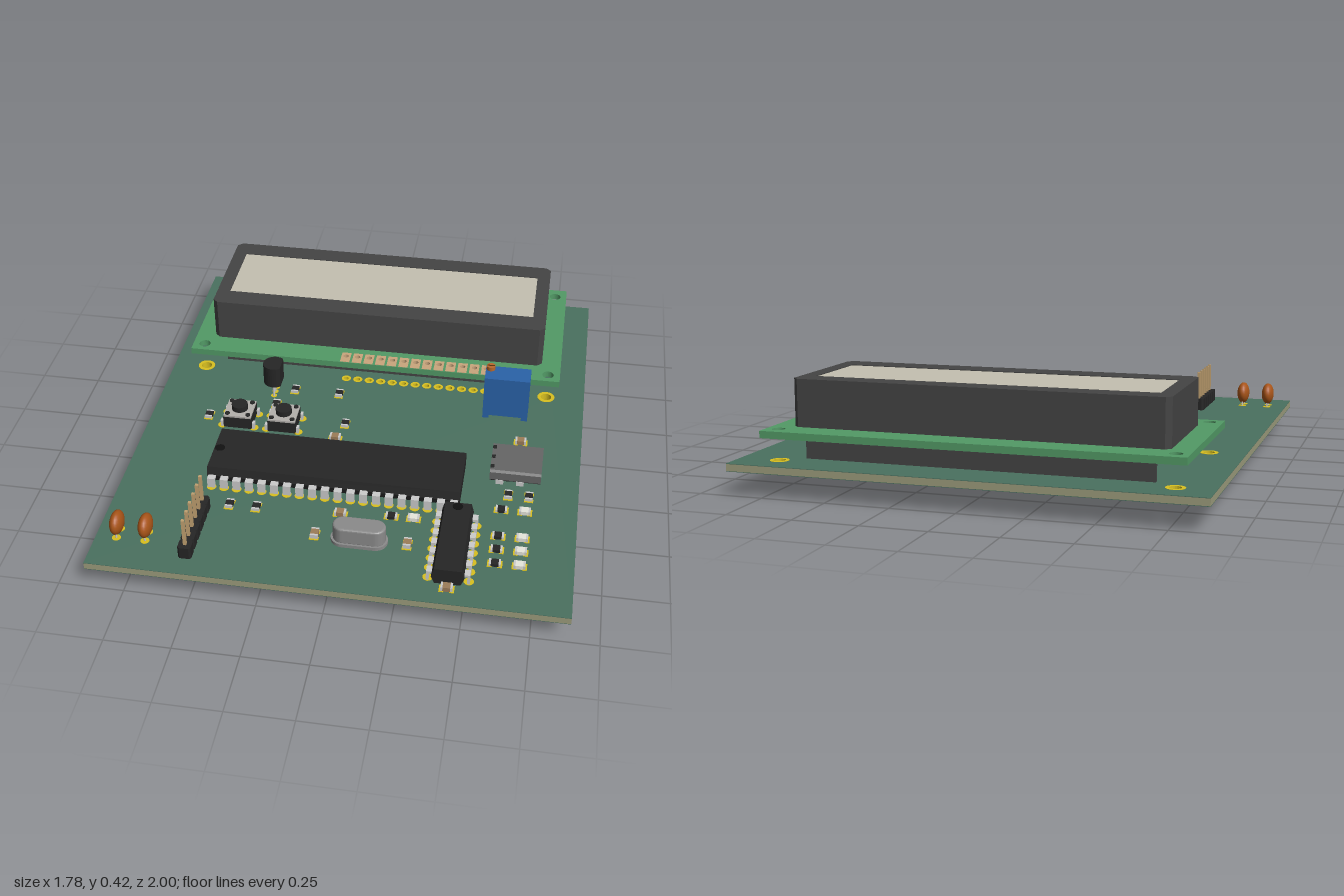
import * as THREE from 'three';

const C = { board: 0x4a705f, core: 0x9c9c7c, lcd: 0x529a66, dark: 0x444444, black: 0x262626, gold: 0xd8c020,
  tin: 0xc8c8c4, brass: 0xc0a070, tan: 0xc9a57c, steel: 0x8a8a8a, blue: 0x2a62a8, orange: 0xa85418 };
const mats = {};
const mat = c => mats[c] ??= new THREE.MeshStandardMaterial({ color: c });

export function createModel() {
  const root = new THREE.Group();
  const TOP = 0.12, BOTTOM = 0.09, PITCH = 0.05;

  const add = (name, geo, color, parent = root) => {
    const m = new THREE.Mesh(geo, mat(color));
    m.name = name;
    parent.add(m);
    return m;
  };
  // box from its two extremes on each axis
  const box = (name, color, x0, x1, y0, y1, z0, z1, parent) => add(name,
    new THREE.BoxGeometry(x1 - x0, y1 - y0, z1 - z0).translate((x0 + x1) / 2, (y0 + y1) / 2, (z0 + z1) / 2), color, parent);
  const cyl = (name, color, x, z, r, y0, y1, parent, seg = 16) => add(name,
    new THREE.CylinderGeometry(r, r, y1 - y0, seg).translate(x, (y0 + y1) / 2, z), color, parent);
  const group = (name, x = 0, z = 0) => {
    const g = new THREE.Group();
    g.name = name;
    g.position.set(x, 0, z);
    root.add(g);
    return g;
  };
  // polygon outline given in x, z
  const outline = pts => new THREE.Shape(pts.map(([x, z]) => new THREE.Vector2(x, -z)));
  const rect = (x0, x1, z0, z1) => outline([[x0, z1], [x1, z1], [x1, z0], [x0, z0]]);
  const chamfered = (x0, x1, z0, z1, c) => outline([[x0 + c, z1], [x1 - c, z1], [x1, z1 - c], [x1, z0 + c],
    [x1 - c, z0], [x0 + c, z0], [x0, z0 + c], [x0, z1 - c]]);
  const drill = (shape, spots, r) => spots.forEach(([x, z]) =>
    shape.holes.push(new THREE.Path().absarc(x, -z, r, 0, Math.PI * 2, true)));
  const slab = (name, color, shape, y0, y1, parent) => add(name,
    new THREE.ExtrudeGeometry(shape, { depth: y1 - y0, bevelEnabled: false, curveSegments: 12 })
      .rotateX(-Math.PI / 2).translate(0, y0, 0), color, parent);
  // plated ring lining a hole through the board
  const ring = (x, z, inner, outer) => {
    const s = new THREE.Shape().absarc(x, -z, outer, 0, Math.PI * 2);
    drill(s, [[x, z]], inner);
    slab('platedHole', C.gold, s, BOTTOM - 0.001, TOP + 0.001);
  };
  const pad = (x, z, parent, r = 0.019) => cyl('solderPad', C.gold, x, z, r, BOTTOM - 0.0015, TOP + 0.0015, parent);

  // Main board: green mask, pale core, green mask
  const mounts = [[-0.75, -0.89], [0.73, -0.89], [-0.75, -0.28], [0.73, -0.28]];
  const lcdPins = Array.from({ length: 16 }, (_, i) => [-0.13 + i * PITCH, -0.28]);
  const boardShape = rect(-0.89, 0.89, -1, 1);
  drill(boardShape, mounts, 0.024);
  drill(boardShape, lcdPins, 0.011);
  slab('boardBottom', C.board, boardShape, BOTTOM, 0.092);
  slab('boardCore', C.core, boardShape, 0.092, 0.118);
  slab('boardTop', C.board, boardShape, 0.118, TOP);
  mounts.forEach(([x, z]) => ring(x, z, 0.022, 0.036));
  lcdPins.forEach(([x, z]) => ring(x, z, 0.010, 0.02));

  // Display module
  const lcdShape = rect(-0.8, 0.78, -0.945, -0.235);
  drill(lcdShape, mounts, 0.024);
  drill(lcdShape, lcdPins, 0.012);
  slab('displayBoard', C.lcd, lcdShape, 0.21, 0.237);
  lcdPins.forEach(([x, z]) => {
    const s = rect(x - 0.02, x + 0.02, -0.305, -0.238);
    drill(s, [[x, z]], 0.011);
    slab('displayPad', C.tan, s, 0.209, 0.2385);
  });
  const bezel = chamfered(-0.72, 0.7, -0.835, -0.34, 0.02);
  bezel.holes.push(rect(-0.665, 0.645, -0.75, -0.435));
  slab('displayBezel', C.dark, bezel, 0.237, 0.417);
  box('displayScreen', 0xc4c0b0, -0.665, 0.645, 0.237, 0.414, -0.75, -0.435);
  for (const z of [-0.825, -0.35]) box('displaySupport', C.dark, -0.67, 0.65, TOP, 0.21, z - 0.008, z + 0.008);

  // Dual in-line chips, long axis on local x
  const dip = (name, x, z, turn, n, row, half, length) => {
    const g = group(name, x, z);
    g.rotation.y = turn;
    const profile = new THREE.Shape([[-half + 0.012, 0.13], [half - 0.012, 0.13], [half, 0.16], [half - 0.01, 0.197],
      [-half + 0.01, 0.197], [-half, 0.16]].map(p => new THREE.Vector2(...p)));
    add('chipBody', new THREE.ExtrudeGeometry(profile, { depth: length, bevelEnabled: false })
      .translate(0, 0, -length / 2).rotateY(Math.PI / 2), C.black, g);
    cyl('chipNotch', 0x111111, -length / 2 + 0.022, 0, 0.02, 0.19, 0.198, g);
    for (let i = 0; i < n; i++) for (const s of [-1, 1]) {
      const px = (i - (n - 1) / 2) * PITCH, pz = s * row;
      const a = Math.min(s * (half - 0.01), pz), b = Math.max(s * (half - 0.01), pz);
      box('leadShoulder', C.tin, px - 0.015, px + 0.015, 0.154, 0.164, a, b, g);
      box('lead', C.tin, px - 0.015, px + 0.015, TOP, 0.164, pz - 0.005, pz + 0.005, g);
      box('leadTail', C.tin, px - 0.005, px + 0.005, 0.055, TOP, pz - 0.005, pz + 0.005, g);
      pad(px, pz, g);
    }
  };
  dip('mainChip', -0.055, 0.36, 0, 20, 0.15, 0.13, 0.99);
  dip('smallChip', 0.44, 0.725, -Math.PI / 2, 7, 0.075, 0.06, 0.37);

  // Pin header
  const header = group('pinHeader', -0.53, 0.77);
  for (let i = 0; i < 6; i++) {
    const z = (i - 2.5) * PITCH;
    slab('headerBlock', C.black, chamfered(-0.025, 0.025, z - 0.025, z + 0.025, 0.007), TOP, 0.17, header);
    box('headerPin', C.brass, -0.006, 0.006, 0.06, 0.287, z - 0.006, z + 0.006, header);
    pad(0, z, header);
  }

  // Thermistors
  for (const x of [-0.81, -0.7]) {
    const g = group('thermistor', x, 0.825);
    add('thermistorBead', new THREE.SphereGeometry(1, 20, 14).scale(0.026, 0.046, 0.05).translate(0, 0.176, 0), C.orange, g);
    for (const z of [-0.025, 0.025]) {
      cyl('thermistorLead', C.tin, 0, z, 0.004, 0.085, 0.16, g, 8);
      pad(0, z, g, 0.017);
    }
  }

  // Crystal can with flange
  const stadium = (r, h) => new THREE.Shape().absarc(h, 0, r, -Math.PI / 2, Math.PI / 2)
    .absarc(-h, 0, r, Math.PI / 2, Math.PI * 1.5);
  const crystal = group('crystal', 0.09, 0.722);
  slab('crystalFlange', C.steel, stadium(0.048, 0.06), TOP, 0.134, crystal);
  add('crystalCan', new THREE.ExtrudeGeometry(stadium(0.032, 0.06), { depth: 0.056, bevelThickness: 0.008, bevelSize: 0.008,
    bevelSegments: 3, curveSegments: 12 }).rotateX(-Math.PI / 2).translate(0, 0.136, 0), C.steel, crystal);
  for (const x of [-0.05, 0.05]) { cyl('crystalLead', C.tin, x, 0, 0.005, 0.06, TOP, crystal, 8); pad(x, 0, crystal); }

  // Data socket, mouth facing +x
  const socket = group('socket', 0.64, 0.23);
  const shell = (w, y0, y1, c) => [[-w + c, y0], [w - c, y0], [w, y0 + c], [w, y1 - 0.008], [w - 0.008, y1],
    [-w + 0.008, y1], [-w, y1 - 0.008], [-w, y0 + c]].map(p => new THREE.Vector2(...p));
  const shellShape = new THREE.Shape(shell(0.09, 0.126, 0.186, 0.018));
  shellShape.holes.push(new THREE.Path(shell(0.082, 0.134, 0.178, 0.016)));
  add('socketShell', new THREE.ExtrudeGeometry(shellShape, { depth: 0.2, bevelEnabled: false })
    .translate(0, 0, -0.1).rotateY(Math.PI / 2), 0x666666, socket);
  box('socketBack', C.black, -0.098, -0.02, 0.134, 0.178, -0.083, 0.083, socket);
  box('socketTongue', C.black, -0.02, 0.085, 0.15, 0.164, -0.05, 0.05, socket);
  for (const z of [-0.08, 0.08]) for (const x of [-0.06, 0.02])
    box('socketFoot', C.tin, x - 0.015, x + 0.015, 0.085, 0.14, z - 0.008, z + 0.008, socket);
  for (const z of [-0.06, 0, 0.06]) box('socketSlot', C.black, -0.1, -0.085, 0.18, 0.187, z - 0.01, z + 0.01, socket);

  // Trimmer potentiometer
  const trimmer = group('trimmer', 0.568, -0.145);
  box('trimmerBody', C.blue, -0.093, 0.093, 0.135, 0.32, -0.046, 0.046, trimmer);
  for (const x of [-0.08, 0.08]) box('trimmerFoot', C.blue, x - 0.013, x + 0.013, TOP, 0.135, -0.046, 0.046, trimmer);
  cyl('trimmerScrew', 0xb8682c, -0.073, -0.025, 0.018, 0.32, 0.337, trimmer);
  box('screwSlot', 0x5a3010, -0.088, -0.058, 0.334, 0.338, -0.028, -0.022, trimmer);
  for (const x of [-0.05, 0, 0.05]) { cyl('trimmerPin', C.tin, x, 0, 0.005, 0, 0.136, trimmer, 8); pad(x, 0, trimmer); }

  // Transistor: round body with a flat on +x
  const transistor = group('transistor', -0.413, -0.14);
  slab('transistorBody', C.black, new THREE.Shape().absarc(0, 0, 0.047, 0.85, Math.PI * 2 - 0.85), 0.175, 0.268, transistor);
  for (const z of [-0.03, 0, 0.03]) { cyl('transistorLead', C.tin, 0, z, 0.005, 0.06, 0.18, transistor, 8); pad(0, z, transistor, 0.013); }

  // Push buttons
  for (const x of [-0.515, -0.33]) {
    const g = group('pushButton', x, 0.075);
    box('buttonBase', C.black, -0.058, 0.058, 0.122, 0.172, -0.058, 0.058, g);
    box('buttonPlate', 0xb4b0ac, -0.057, 0.057, 0.172, 0.18, -0.057, 0.057, g);
    cyl('buttonCap', C.black, 0, 0, 0.033, 0.18, 0.204, g, 24);
    for (const sx of [-1, 1]) for (const sz of [-1, 1]) {
      cyl('buttonRivet', C.black, sx * 0.043, sz * 0.043, 0.01, 0.18, 0.185, g);
      box('buttonLeg', C.tin, sx * 0.066 - 0.005, sx * 0.066 + 0.005, 0.065, 0.15, sz * 0.045 - 0.01, sz * 0.045 + 0.01, g);
      pad(sx * 0.066, sz * 0.045, g);
    }
  }

  // Surface-mount chips: [x, z], long axis on x or turned to z
  const chips = (name, color, height, turned, spots) => spots.forEach(([x, z]) => {
    const g = group(name, x, z);
    if (turned) g.rotation.y = Math.PI / 2;
    box('chipCentre', color, -0.014, 0.014, 0.121, TOP + height, -0.015, 0.015, g);
    for (const s of [-1, 1]) {
      box('chipEnd', C.tin, s * 0.018 - 0.004, s * 0.018 + 0.004, 0.121, TOP + height, -0.015, 0.015, g);
      box('chipPad', C.gold, s * 0.019 - 0.009, s * 0.019 + 0.009, TOP, 0.1225, -0.018, 0.018, g);
    }
  });
  chips('resistor', C.black, 0.014, true, [[-0.435, 0.603], [-0.33, 0.603], [-0.33, -0.16], [-0.14, -0.16], [-0.65, 0.068],
    [-0.39, -0.048], [-0.08, 0.04], [0.62, 0.383], [0.7, 0.383]]);
  chips('resistor', C.black, 0.014, false, [[0.6, 0.472], [0.6, 0.622], [0.6, 0.695], [0.6, 0.77], [0.19, 0.575]]);
  chips('indicatorLight', 0xe8e6dc, 0.018, false, [[0.69, 0.472], [0.69, 0.622], [0.69, 0.695], [0.69, 0.77], [0.275, 0.575]]);
  chips('capacitor', 0x9c7c58, 0.02, false, [[-0.105, 0.138], [0.645, 0.048], [-0.005, 0.59], [0.44, 0.925]]);
  chips('capacitor', 0x9c7c58, 0.02, true, [[-0.08, 0.72], [0.27, 0.72]]);

  return root;
}
